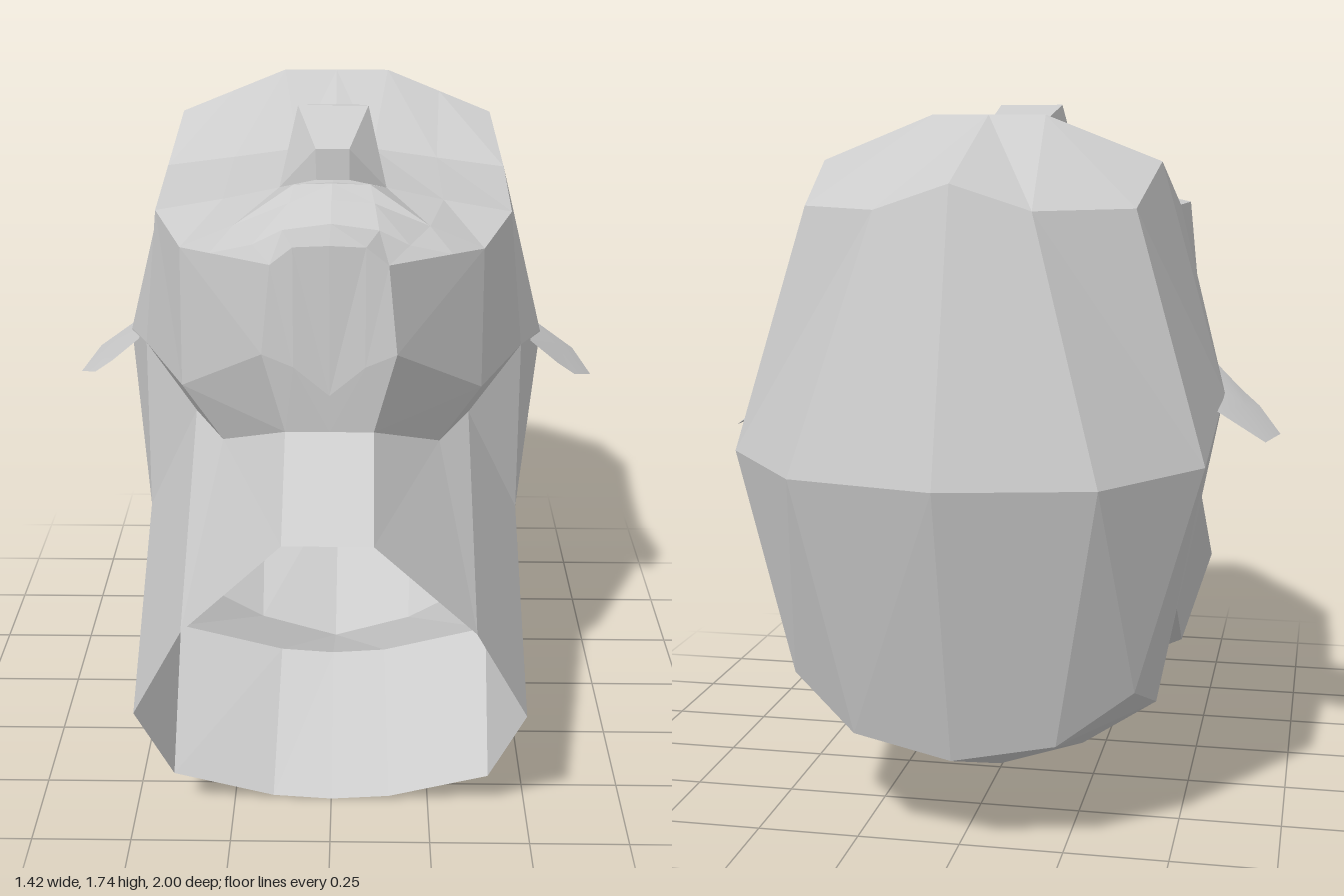
import * as THREE from 'three';

const v = (x, y, z) => new THREE.Vector3(x, y, z);
const flat = new THREE.MeshStandardMaterial({ color: 0xcccccc, flatShading: true, side: THREE.DoubleSide });
const smooth = new THREE.MeshStandardMaterial({ color: 0xcccccc, side: THREE.DoubleSide });
const core = v(0, 0.85, 0);

// Join rows of points into faceted strips, mirrored over x = 0, facing outwards.
function loft(name, rows) {
  const pos = [];
  const tri = (a, b, c) => {
    const n = b.clone().sub(a).cross(c.clone().sub(a));
    if (n.length() < 1e-6) return;
    const out = a.clone().add(b).add(c).divideScalar(3).sub(core);
    if (n.dot(out) < 0) [b, c] = [c, b];
    for (const p of [a, b, c]) pos.push(p.x, p.y, p.z);
    for (const p of [a, c, b]) pos.push(-p.x, p.y, p.z);
  };
  for (let i = 0; i < rows.length - 1; i++) {
    for (let j = 0; j < rows[i].length - 1; j++) {
      const a = rows[i][j], b = rows[i][j + 1], c = rows[i + 1][j + 1], d = rows[i + 1][j];
      tri(a, b, c);
      tri(a, c, d);
    }
  }
  const g = new THREE.BufferGeometry();
  g.setAttribute('position', new THREE.Float32BufferAttribute(pos, 3));
  g.computeVertexNormals();
  const mesh = new THREE.Mesh(g, flat);
  mesh.name = name;
  return mesh;
}

// Cupped ear: a shared rim with an inner and an outer hollow.
function ear(name, s) {
  const pts = [
    v(0.52, 1.075, 0.03), v(0.6, 1.0, 0.0), v(0.65, 0.96, -0.02), v(0.71, 0.91, -0.15),
    v(0.68, 0.92, -0.33), v(0.56, 1.0, -0.36), v(0.54, 1.04, -0.17),
    v(0.62, 0.985, -0.18), v(0.62, 0.945, -0.17),
  ];
  const index = [];
  for (let i = 0; i < 7; i++) {
    const j = (i + 1) % 7;
    index.push(...(s > 0 ? [7, i, j] : [7, j, i]), ...(s > 0 ? [8 + 7, j + 8, i + 8] : [8 + 7, i + 8, j + 8]));
  }
  const all = [...pts.slice(0, 8), ...pts.slice(0, 7), pts[8]];
  const g = new THREE.BufferGeometry().setFromPoints(all.map((p) => v(p.x * s, p.y, p.z)));
  g.setIndex(index);
  g.computeVertexNormals();
  const mesh = new THREE.Mesh(g, smooth);
  mesh.name = name;
  return mesh;
}

export function createModel() {
  const head = new THREE.Group();
  head.name = 'head';

  // Corners shared by neighbouring parts
  const browMid = v(0, 1.71, -0.38), brow = v(0.14, 1.71, -0.38), browSide = v(0.42, 1.6, -0.36);
  const hairSide = v(0.39, 1.5, -0.62), crownSide = v(0.56, 0.92, -0.67), backSide = v(0.41, 0.39, -0.71);
  const temple = v(0.57, 1.02, -0.2), occiputSide = v(0.41, 0.2, -0.22), napeSide = v(0.41, 0.34, 0.27);
  const eyeSide = v(0.45, 1.49, -0.19), cheek = v(0.44, 1.48, 0.21), cheekLow = v(0.36, 1.45, 0.42);
  const jaw = v(0.48, 1.12, 0.18), jawEdge = v(0.36, 1.12, 0.47), chinCorner = v(0.13, 1.51, 0.74);
  const neckTop = v(0.48, 0.68, 0.22), underBack = v(0.34, 1.0, 0.34), underFront = v(0.26, 1.0, 0.52);
  const throat = v(0.1, 1.12, 0.75), throatMid = v(0, 1.12, 0.75);
  const baseSide = v(0.48, 0.36, 0.73), baseBack = v(0.4, 0.11, 0.62);

  // Forehead, over the crown and down to the back of the neck
  head.add(loft('cranium', [
    [browMid, brow, browSide],
    [v(0, 1.56, -0.81), v(0.18, 1.5, -0.785), hairSide],
    [v(0, 0.91, -1), v(0.35, 0.91, -0.92), crownSide],
    [v(0, 0.24, -0.83), v(0.24, 0.28, -0.8), backSide],
    [v(0, 0.01, -0.25), v(0.22, 0.08, -0.24), occiputSide],
    [v(0, 0.23, 0.22), v(0.14, 0.24, 0.22), napeSide],
    [v(0, 0, 0.57), v(0.15, 0.01, 0.57), baseBack],
  ]));

  // Temples and sides of the skull
  head.add(loft('headSides', [
    [hairSide, crownSide, crownSide, backSide],
    [browSide, temple, temple, occiputSide],
    [eyeSide, temple, temple, occiputSide],
    [cheek, jaw, neckTop, napeSide],
  ]));

  // Jaw wall and its underside
  head.add(loft('jaw', [
    [cheek, jaw, jaw],
    [cheekLow, jawEdge, underBack],
    [cheekLow, jawEdge, underFront],
    [chinCorner, v(0.15, 1.31, 0.76), throat],
    [v(0.08, 1.55, 0.74), v(0.08, 1.28, 0.76), throat],
    [v(0, 1.555, 0.745), v(0, 1.21, 0.755), throatMid],
  ]));

  // Neck, open at the base
  head.add(loft('neck', [
    [napeSide, baseBack],
    [neckTop, baseSide],
    [underBack, baseSide],
    [underFront, v(0.34, 0.67, 0.87)],
    [throat, v(0.1, 0.96, 1)],
    [throatMid, v(0, 0.96, 1)],
  ]));
  head.add(loft('jawHinge', [[jaw, neckTop], [underBack, neckTop]]));

  // Face from brow to chin, with the lips folded in
  head.add(loft('face', [
    [browMid, brow, v(0.28, 1.655, -0.37), browSide],
    [v(0, 1.55, -0.17), v(0.1, 1.54, -0.18), v(0.27, 1.515, -0.185), eyeSide],
    [v(0, 1.56, 0.24), v(0.13, 1.55, 0.25), v(0.27, 1.515, 0.23), cheek],
    [v(0, 1.6, 0.4), v(0.09, 1.595, 0.39), v(0.23, 1.51, 0.44), cheekLow],
    [v(0, 1.57, 0.44), v(0.1, 1.56, 0.43), v(0.23, 1.51, 0.44), cheekLow],
    [v(0, 1.585, 0.49), v(0.1, 1.575, 0.48), v(0.23, 1.51, 0.44), cheekLow],
    [v(0, 1.55, 0.56), v(0.11, 1.535, 0.56), v(0.18, 1.5, 0.56), v(0.28, 1.47, 0.53)],
    [v(0, 1.555, 0.745), v(0.08, 1.55, 0.74), chinCorner, chinCorner],
  ]));
  head.add(loft('cheekEdge', [[cheekLow, cheekLow], [v(0.28, 1.47, 0.53), chinCorner]]));

  // Nose wedge with its underside
  const wing = v(0.13, 1.55, 0.25);
  head.add(loft('nose', [
    [v(0, 1.64, -0.26), v(0.06, 1.64, -0.26), v(0.1, 1.54, -0.18)],
    [v(0, 1.74, 0.2), v(0.085, 1.74, 0.2), wing],
    [v(0, 1.66, 0.31), v(0.04, 1.66, 0.31), wing],
    [v(0, 1.585, 0.31), v(0.04, 1.585, 0.31), wing],
  ]));

  head.add(ear('leftEar', 1), ear('rightEar', -1));
  return head;
}
